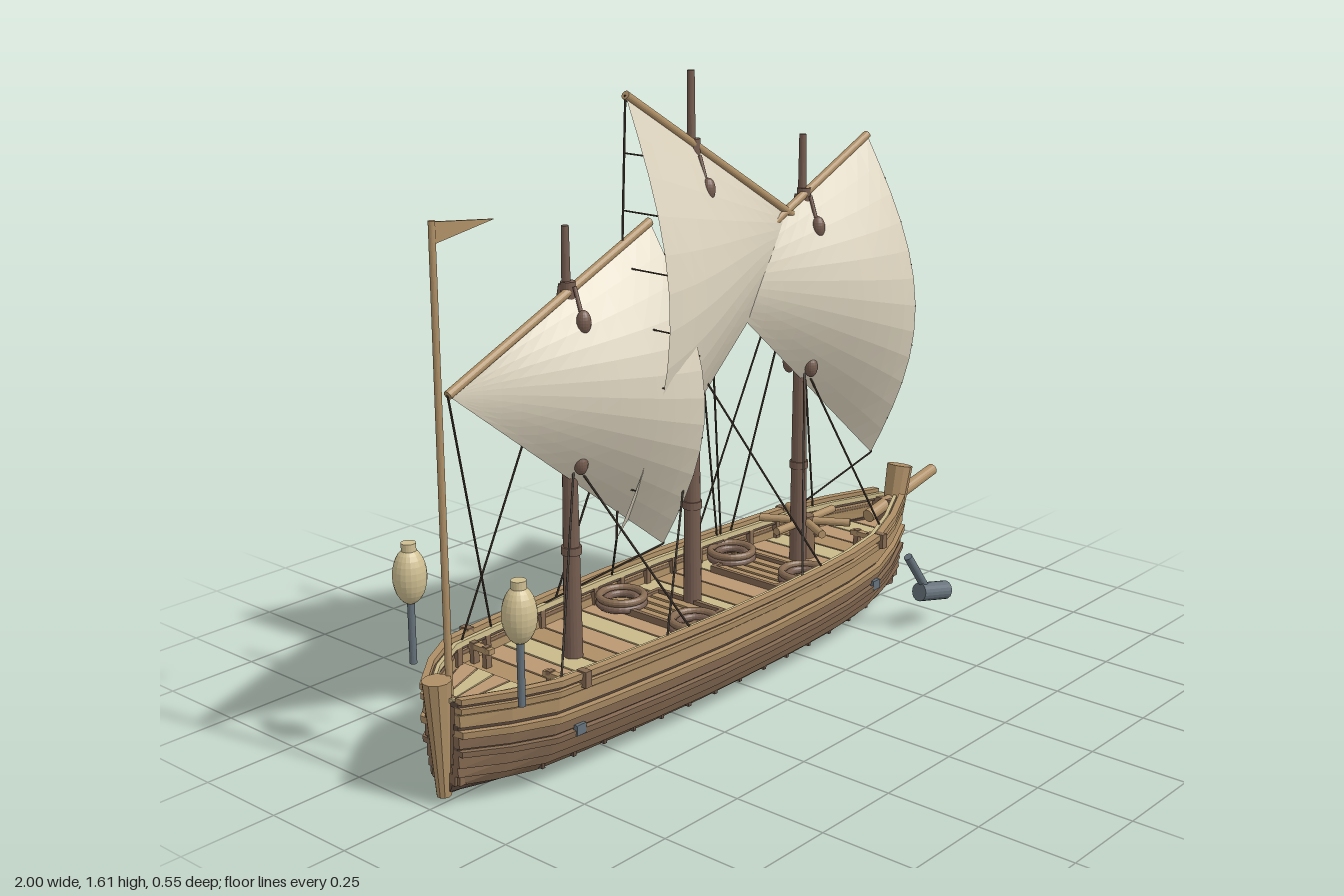
import * as THREE from 'three';

const mat = (name, color, side = THREE.FrontSide) => {
  const m = new THREE.MeshStandardMaterial({ color, flatShading: true, side });
  m.name = name;
  return m;
};
const M = {
  tan: mat('tanTimber', 0xae8f66),
  brown: mat('brownTimber', 0x856a52),
  dark: mat('darkTimber', 0x5e4b3f),
  mast: mat('mastWood', 0x765d50),
  pale: mat('palePlank', 0xcaba8a),
  plank: mat('warmPlank', 0xbb9873),
  sail: mat('canvas', 0xddd4bf, THREE.DoubleSide),
  rope: mat('rope', 0x54473b),
  iron: mat('iron', 0x65717a),
  glass: mat('lanternGlass', 0xcfbf92),
};
const V = (x, y, z) => new THREE.Vector3(x, y, z);

// Piecewise linear lookup in [[x, value], ...]
function lookup(table, x) {
  for (let i = 1; i < table.length; i++) {
    const [a, va] = table[i - 1], [b, vb] = table[i];
    if (x <= b) return va + (vb - va) * Math.max(0, (x - a) / (b - a));
  }
  return table[table.length - 1][1];
}

// Hull lines: half width, keel height, sheer height and section shape
const WIDTH = [[-0.96, 0.055], [-0.86, 0.135], [-0.76, 0.187], [-0.5, 0.207], [-0.2, 0.217], [0.05, 0.214],
  [0.3, 0.197], [0.5, 0.168], [0.64, 0.115], [0.78, 0.045]];
const KEEL = [[-0.96, 0.035], [-0.7, 0.016], [-0.3, 0.006], [0.3, 0.006], [0.6, 0.018], [0.78, 0.04]];
const SHEER = [[-0.96, 0.27], [-0.8, 0.288], [0.4, 0.286], [0.78, 0.305]];
const SECTION = [[0, 0.25], [0.08, 0.5], [0.22, 0.72], [0.4, 0.86], [0.65, 0.93], [1, 1]];
const STATIONS = [-0.955, -0.86, -0.76, -0.6, -0.4, -0.2, 0, 0.2, 0.35, 0.5, 0.64, 0.78];
const hullY = (x, t) => lookup(KEEL, x) + t * (lookup(SHEER, x) - lookup(KEEL, x));
const hullZ = (x, t) => lookup(WIDTH, x) * lookup(SECTION, t);

// Closed solid through matching four-point loops, faced outward
function loft(sections) {
  const pos = sections.flat(2), idx = [], n = 4;
  const quad = (a, b, c, d) => idx.push(a, b, c, a, c, d);
  for (let i = 0; i < sections.length - 1; i++)
    for (let j = 0; j < n; j++) {
      const k = (j + 1) % n;
      quad(i * n + j, i * n + k, (i + 1) * n + k, (i + 1) * n + j);
    }
  const e = (sections.length - 1) * n;
  quad(3, 2, 1, 0);
  quad(e, e + 1, e + 2, e + 3);
  const p = i => V(...pos.slice(i * 3, i * 3 + 3));
  let volume = 0;
  for (let i = 0; i < idx.length; i += 3) volume += p(idx[i]).dot(p(idx[i + 1]).cross(p(idx[i + 2])));
  if (volume < 0) idx.reverse();
  const g = new THREE.BufferGeometry();
  g.setAttribute('position', new THREE.Float32BufferAttribute(pos, 3));
  g.setIndex(idx);
  g.computeVertexNormals();
  return g;
}

// Strakes: name, low t, high t, low overhang, high overhang, thickness, material
const STRAKES = [
  ['bottomStrake', 0, 0.1, 0.006, 0, 0.02, M.dark], ['bilgeStrake', 0.08, 0.2, 0.008, 0, 0.02, M.brown],
  ['lowerStrake', 0.19, 0.3, 0.012, 0.002, 0.02, M.brown],
  ['lowerStrake', 0.29, 0.42, 0.01, 0.002, 0.02, M.brown], ['lowerWale', 0.42, 0.48, 0.016, 0.016, 0.03, M.brown],
  ['seam', 0.47, 0.51, 0, 0, 0.014, M.dark], ['sideStrake', 0.5, 0.63, 0.006, 0.002, 0.02, M.brown],
  ['upperWale', 0.62, 0.69, 0.017, 0.017, 0.03, M.tan], ['seam', 0.68, 0.74, 0, 0, 0.016, M.dark],
  ['bulwark', 0.73, 0.85, 0.008, 0.004, 0.018, M.tan], ['seam', 0.84, 0.88, 0, 0, 0.012, M.brown],
  ['lowerRail', 0.87, 0.93, 0.011, 0.011, 0.022, M.tan], ['seam', 0.92, 0.98, 0, 0, 0.024, M.dark],
  ['capRail', 0.97, 1.03, 0.012, 0.012, 0.021, M.tan], ['innerRail', 0.95, 1.0, -0.017, -0.017, 0.012, M.pale],
];

export function createModel() {
  const ship = new THREE.Group();
  ship.name = 'sailingShip';
  const add = (name, geo, material, x = 0, y = 0, z = 0) => {
    const m = new THREE.Mesh(geo, material);
    m.name = name;
    m.position.set(x, y, z);
    ship.add(m);
    return m;
  };
  const box = (name, material, x, y, z, w, h, d) => add(name, new THREE.BoxGeometry(w, h, d), material, x, y, z);
  const rod = (name, material, a, b, r0, r1 = r0, sides = 18) => {
    const d = b.clone().sub(a);
    const m = add(name, new THREE.CylinderGeometry(r1, r0, d.length(), sides), material);
    m.position.copy(a).addScaledVector(d, 0.5);
    m.quaternion.setFromUnitVectors(V(0, 1, 0), d.normalize());
    return m;
  };
  const rope = (a, b, name = 'rope', r = 0.0028) => rod(name, M.rope, a, b, r, r, 8);

  for (const s of [1, -1]) {
    for (const [name, t0, t1, o0, o1, th, m] of STRAKES)
      add(name, loft(STATIONS.map(x => {
        const y0 = hullY(x, t0), y1 = hullY(x, t1), z0 = hullZ(x, t0) + o0, z1 = hullZ(x, t1) + o1;
        return [[x, y0, s * z0], [x, y1, s * z1], [x, y1, s * (z1 - th)], [x, y0, s * (z0 - th)]];
      })), m);
    // Ribs inside the bulwark and trunnels along the bilge
    for (let x = -0.75; x < 0.6; x += 0.1) {
      box('rib', M.brown, x, 0.25, s * (hullZ(x, 0.9) - 0.018), 0.016, 0.05, 0.016);
      box('trunnel', M.dark, x, hullY(x, 0.14), s * hullZ(x, 0.14), 0.01, 0.02, 0.014);
    }
    for (const x of [-0.69, 0.5]) {
      box('hawsePlate', M.iron, x, 0.147, s * (hullZ(x, 0.5) + 0.01), 0.03, 0.026, 0.012);
      box('railPost', M.brown, x, 0.28, s * (hullZ(x, 1) + 0.006), 0.02, 0.04, 0.03);
    }
  }
  // Bottom, keel and end bulkheads
  const spine = (w, y0, y1) => loft(STATIONS.map(x => {
    const y = lookup(KEEL, x), z = w || hullZ(x, 0);
    return [[x, y + y0, -z], [x, y + y1, -z], [x, y + y1, z], [x, y + y0, z]];
  }));
  add('bottomPlanking', spine(0, 0, 0.015), M.dark);
  add('keel', spine(0.016, -0.006, 0.012), M.dark);
  box('bowBulkhead', M.brown, 0.765, 0.18, 0, 0.02, 0.23, 0.08);
  box('sternBulkhead', M.brown, -0.94, 0.16, 0, 0.02, 0.21, 0.1);

  // Crosswise deck planks over a dark base, lengthwise planks at the stern
  const deckPiece = (x0, x1, y, f0 = -1, f1 = 1) => loft([x0, x1].map(x => {
    const z = hullZ(x, 0.75) - 0.012;
    return [[x, y - 0.012, f0 * z], [x, y, f0 * z], [x, y, f1 * z], [x, y - 0.012, f1 * z]];
  }));
  const deckColors = [M.plank, M.pale, M.plank, M.tan, M.plank, M.pale, M.tan];
  for (let i = 0; i < 24; i++) {
    const x = -0.945 + i * 0.0715;
    if (x > -0.74) add('deckPlank', deckPiece(x, x + 0.066, 0.226), deckColors[i % 7]);
    add('deckBase', deckPiece(x, x + 0.0715, 0.215), M.dark);
  }
  for (let i = 0; i < 6; i++)
    add('sternPlank', deckPiece(-0.945, -0.735, 0.23, -1 + i / 3, -0.7 + i / 3), i % 2 ? M.pale : M.plank);

  // Stem, stern post and bowsprit
  rod('sternPost', M.tan, V(-0.955, 0.02, 0), V(-0.965, 0.31, 0), 0.018, 0.035, 10);
  const foot = new THREE.Shape([[0.72, 0.04], [0.775, 0.035], [0.782, 0.13], [0.81, 0.2], [0.74, 0.2]]
    .map(p => new THREE.Vector2(...p)));
  add('stemFoot', new THREE.ExtrudeGeometry(foot, { depth: 0.05, bevelEnabled: false }), M.mast, 0, 0, -0.025);
  rod('stemHead', M.tan, V(0.775, 0.13, 0), V(0.832, 0.38, 0), 0.026, 0.037, 10);
  rod('bowsprit', M.tan, V(0.68, 0.262, 0), V(0.998, 0.325, 0), 0.019, 0.017);

  // Hatches, rope coils, bitts
  for (const x of [-0.17, 0.2]) {
    for (const s of [1, -1]) {
      box('hatchCoaming', M.brown, x + s * 0.075, 0.233, 0, 0.012, 0.022, 0.23);
      box('hatchCoaming', M.brown, x, 0.233, s * 0.11, 0.15, 0.022, 0.012);
    }
    for (let i = 0; i < 4; i++) box('hatchBatten', M.tan, x - 0.051 + i * 0.034, 0.23, 0, 0.024, 0.014, 0.21);
  }
  for (const s of [1, -1]) {
    for (const x of [-0.22, 0.22])
      for (const [r, y, m] of [[0.058, 0.24, M.mast], [0.058, 0.258, M.brown], [0.04, 0.248, M.mast]])
        add('ropeCoil', new THREE.TorusGeometry(r, 0.01, 12, 28), m, x, y, s * 0.125).rotation.x = Math.PI / 2;
    for (const x of [-0.71, 0.53]) {
      const z = x < 0 ? 0.13 : 0.095;
      for (const d of [-0.022, 0.022]) box('bittPost', M.brown, x, 0.25, s * (z + d), 0.018, 0.06, 0.014);
      box('bittBar', M.tan, x, 0.27, s * z, 0.018, 0.014, 0.08);
    }
  }
  // Capstan with three through bars
  rod('capstanDrum', M.brown, V(0.385, 0.22, 0), V(0.385, 0.345, 0), 0.03, 0.024);
  for (let i = 0; i < 3; i++) {
    const a = i * Math.PI / 3, c = 0.125 * Math.cos(a), s = 0.125 * Math.sin(a);
    rod('capstanBar', M.tan, V(0.385 - c, 0.33, -s), V(0.385 + c, 0.33, s), 0.011);
  }

  // Masts with lateen sails: yard peak, yard foot and clew are [x, y]
  const rigs = [
    { x: -0.525, top: 1.29, cross: 1.14, blocks: [0.725, 1.07], peak: [-0.25, 1.26], foot: [-0.91, 0.97], clew: [-0.21, 0.43], sheet: -0.44, tack: -0.63, spread: 0.21 },
    { x: -0.085, top: 1.605, cross: 1.42, blocks: [0.87, 1.32], peak: [-0.33, 1.57], foot: [0.36, 1.16], clew: [-0.38, 0.49], sheet: -0.18, tack: 0.28, spread: 0.31 },
    { x: 0.355, top: 1.4, cross: 1.24, blocks: [0.78, 1.16], peak: [0.62, 1.37], foot: [-0.03, 1.07], clew: [0.67, 0.46], sheet: 0.5, tack: 0.24, spread: 0.22 },
  ];
  for (const r of rigs) {
    const at = ([x, y], z = 0.012) => V(x, y, z);
    const peak = at(r.peak), end = at(r.foot), clew = at(r.clew);
    rod('lowerMast', M.mast, V(r.x, 0.2, 0), V(r.x, r.blocks[0], 0), 0.024, 0.018);
    rod('upperMast', M.mast, V(r.x, r.blocks[0], 0), V(r.x, r.cross, 0), 0.018, 0.012);
    rod('topMast', M.mast, V(r.x, r.cross, 0), V(r.x, r.top, 0), 0.011, 0.009);
    rod('mastBand', M.mast, V(r.x, 0.49, 0), V(r.x, 0.51, 0), 0.025);
    rod('yard', M.tan, end, peak, 0.011);
    rod('yardLashing', M.mast, V(r.x, r.cross - 0.02, 0.006), V(r.x, r.cross + 0.02, 0.006), 0.018);

    // Billowing triangular canvas, fullest along the free edge
    const canvas = (u, v) => {
      const p = end.clone().lerp(peak, u).lerp(end.clone().lerp(clew, u), v);
      p.z += 0.157 * u * u * (3 - 2 * u) * Math.sin(Math.PI * v);
      return p;
    };
    const g = new THREE.PlaneGeometry(1, 1, 14, 12), P = g.attributes.position;
    for (let i = 0; i < P.count; i++) {
      const q = canvas(P.getX(i) + 0.5, 0.5 - P.getY(i));
      P.setXYZ(i, q.x, q.y, q.z);
    }
    g.computeVertexNormals();
    add('sail', g, M.sail);
    rope(peak, clew, 'leechRope');
    for (let i = 1; i < 8; i++) rope(peak.clone().lerp(clew, i / 8), canvas(1, i / 8), 'leechTie', 0.002);

    // Blocks on pendants, shrouds, sheet and tack
    for (const s of [1, -1]) {
      r.blocks.forEach((y, i) => {
        const z = s * (i && s > 0 ? 0.055 : 0.037);
        add('pulleyBlock', new THREE.SphereGeometry(0.018, 18, 12), M.mast, r.x, y, z).scale.y = 1.6;
        rod('blockPendant', M.mast, V(r.x, y + 0.08, z * 0.5), V(r.x, y, z), 0.005);
      });
      for (const d of [-1, 1]) {
        const x = r.x + d * r.spread;
        rope(V(r.x, r.blocks[s > 0 ? 0 : 1], s * 0.015), V(x, 0.285, s * (hullZ(x, 1) - 0.02)), 'shroud');
      }
    }
    rope(clew, V(r.sheet, 0.285, -hullZ(r.sheet, 1) + 0.02), 'sheet');
    rope(end, V(r.tack, 0.285, -hullZ(r.tack, 1) + 0.02), 'tack');
  }

  // Stern flagpole with pennant
  rod('flagpole', M.tan, V(-0.927, 0.22, 0), V(-0.927, 1.36, 0), 0.009, 0.008);
  const pennant = new THREE.Shape([[0, 0], [0.18, 0.03], [0, 0.05]].map(p => new THREE.Vector2(...p)));
  add('pennant', new THREE.ExtrudeGeometry(pennant, { depth: 0.006, bevelEnabled: false }), M.tan, -0.927, 1.308, -0.003);

  for (const s of [1, -1]) {
    // Stern lantern
    rod('lanternPole', M.iron, V(-0.875, 0.27, s * 0.183), V(-0.875, 0.44, s * 0.183), 0.009);
    add('lantern', new THREE.SphereGeometry(0.041, 20, 14), M.glass, -0.875, 0.49, s * 0.183).scale.y = 1.7;
    rod('lanternCap', M.glass, V(-0.875, 0.545, s * 0.183), V(-0.875, 0.572, s * 0.183), 0.018);
    // Bow anchor
    rod('anchorShank', M.iron, V(0.565, 0.225, s * 0.222), V(0.64, 0.105, s * 0.24), 0.012);
    rod('anchorWeight', M.iron, V(0.605, 0.112, s * 0.235), V(0.71, 0.092, s * 0.252), 0.026);
  }
  return ship;
}
